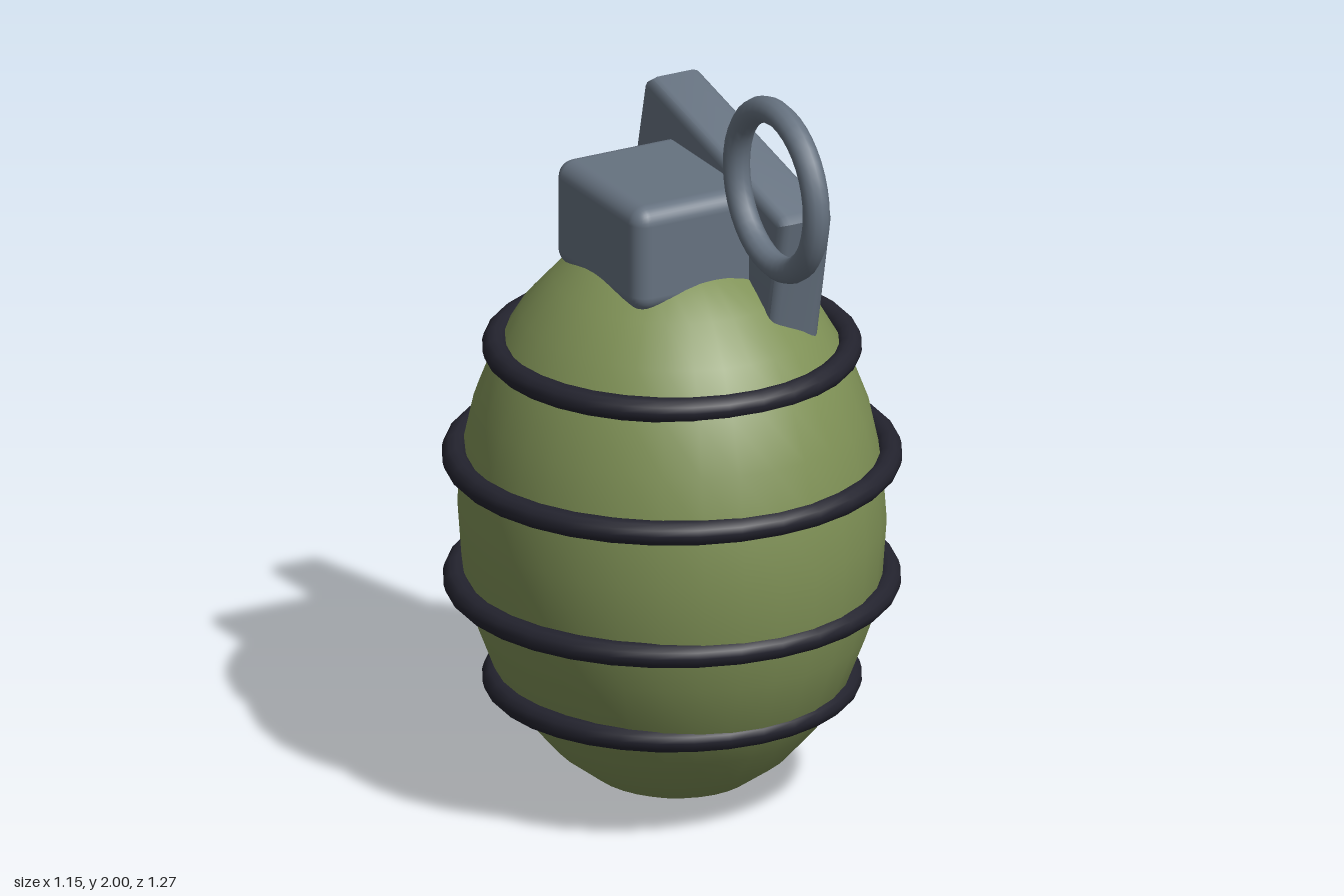
import * as THREE from 'three';
import { toCreasedNormals } from 'three/addons/utils/BufferGeometryUtils.js';
import { RoundedBoxGeometry } from 'three/addons/geometries/RoundedBoxGeometry.js';

export function createModel() {
  const model = new THREE.Group();
  const material = (name, color) => {
    const m = new THREE.MeshStandardMaterial({ color });
    m.name = name;
    return m;
  };
  const olive = material('olive', 0x7f9156);
  const steel = material('steel grey', 0x667280);
  const rubber = material('dark rubber', 0x23232e);

  const add = (name, geometry, mat, x, y, z) => {
    const mesh = new THREE.Mesh(geometry, mat);
    mesh.name = name;
    mesh.position.set(x, y, z);
    model.add(mesh);
    return mesh;
  };
  const axisZ = -0.06;

  // Egg-shaped body, slightly deeper than wide
  const bodyGeometry = new THREE.SphereGeometry(1, 32, 16).scale(0.525, 0.747, 0.57);
  add('body', bodyGeometry, olive, 0, 0.752, axisZ);

  // Bands around the body: height and radius
  const bands = [[0.31, 0.443], [0.575, 0.541], [0.905, 0.544], [1.195, 0.443]];
  bands.forEach(([y, radius], i) => {
    const geometry = new THREE.TorusGeometry(radius, 0.032, 12, 32).rotateX(Math.PI / 2);
    add('band' + (i + 1), geometry, rubber, 0, y, axisZ);
  });

  // Rounded fuse block on top
  add('fuseBlock', new RoundedBoxGeometry(0.44, 0.28, 0.436, 4, 0.045), steel, 0, 1.523, axisZ - 0.002);

  // Safety lever: side outline in (z, y), extruded across x
  const outline = new THREE.Shape([
    [0.25, 1.27], [0.325, 1.625], [0.3, 1.642], [-0.36, 1.785], [-0.392, 1.765],
    [-0.582, 0.955], [-0.565, 0.93], [-0.5, 0.95], [-0.26, 1.27],
  ].map(([z, y]) => new THREE.Vector2(z, y)));
  const bevel = 0.025;
  const lever = new THREE.ExtrudeGeometry(outline, {
    depth: 0.15 - 2 * bevel,
    bevelThickness: bevel,
    bevelSize: bevel,
    bevelOffset: -bevel,
    bevelSegments: 3,
  }).translate(0, 0, bevel).rotateY(-Math.PI / 2);
  add('lever', toCreasedNormals(lever, 0.7), steel, 0.25, 0, 0);

  // Pull ring standing in the side plane
  const ring = new THREE.TorusGeometry(0.205, 0.034, 12, 40).rotateY(Math.PI / 2);
  add('pullRing', ring, steel, 0.042, 1.762, 0.4);

  return model;
}
